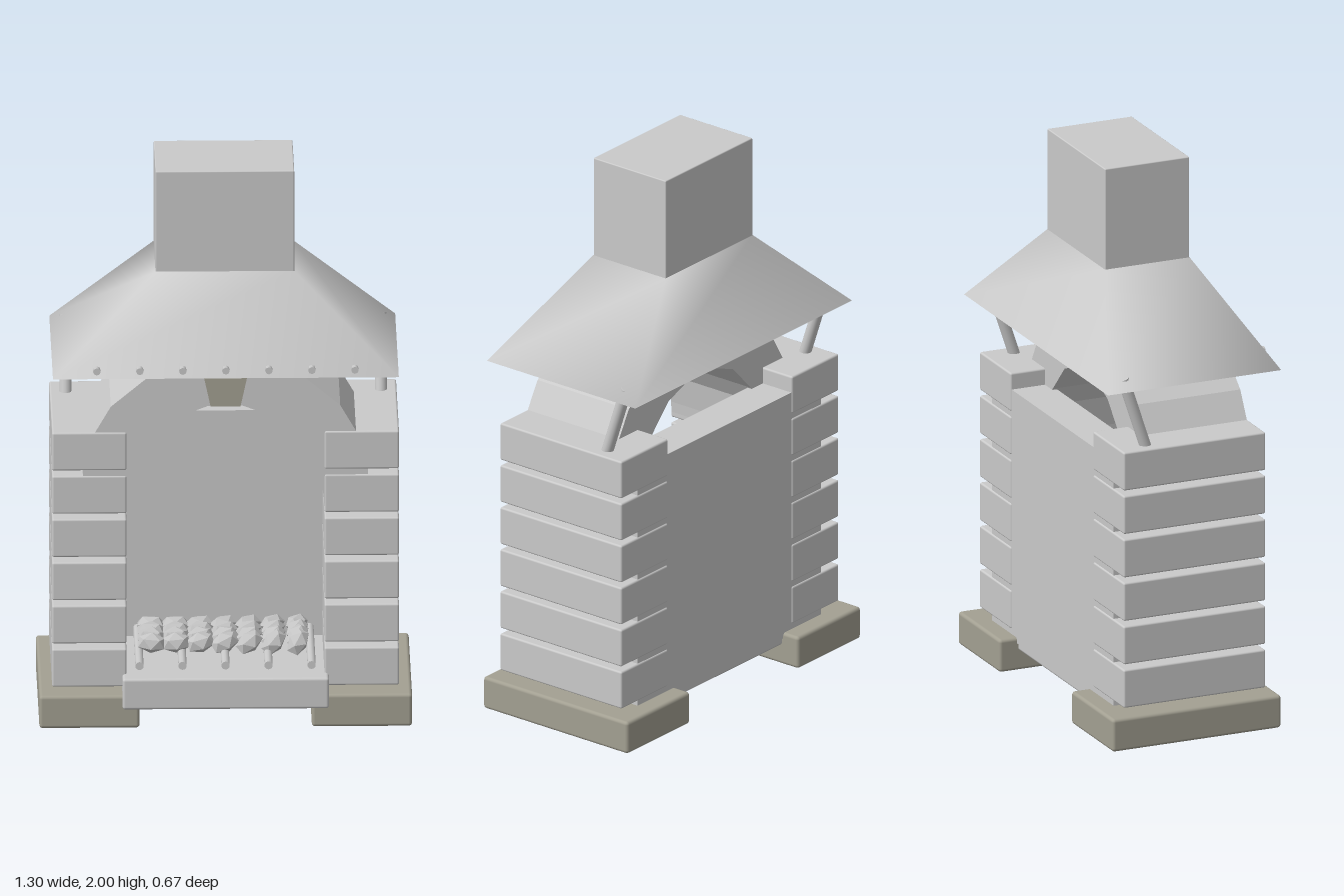
import * as THREE from 'three';
import { RoundedBoxGeometry } from 'three/addons/geometries/RoundedBoxGeometry.js';

export function createModel() {
  const model = new THREE.Group();
  model.name = 'gardenFireplace';

  const stone = new THREE.MeshStandardMaterial({ name: 'lightGrey', color: 0xcacaca });
  const plinth = new THREE.MeshStandardMaterial({ name: 'oliveStone', color: 0xa3a092 });
  const sheet = new THREE.MeshStandardMaterial({ name: 'hoodGrey', color: 0xcccccc, side: THREE.DoubleSide });
  const food = new THREE.MeshStandardMaterial({ name: 'coalGrey', color: 0xc4c4c4, flatShading: true });

  const add = (name, geometry, material, x = 0, y = 0, z = 0) => {
    const mesh = new THREE.Mesh(geometry, material);
    mesh.name = name;
    mesh.position.set(x, y, z);
    model.add(mesh);
    return mesh;
  };

  // Box given by its limits on each axis, with softly worn edges
  const block = (name, material, [x0, x1], [y0, y1], [z0, z1], radius = 0.007) =>
    add(name, new RoundedBoxGeometry(x1 - x0, y1 - y0, z1 - z0, 2, radius), material,
      (x0 + x1) / 2, (y0 + y1) / 2, (z0 + z1) / 2);

  // Cylinder between two points
  const rod = (name, a, b, radius, material, sides = 12) => {
    const p = new THREE.Vector3(...a), q = new THREE.Vector3(...b);
    const mesh = add(name, new THREE.CylinderGeometry(radius, radius, p.distanceTo(q), sides), material);
    mesh.position.copy(p).add(q).multiplyScalar(0.5);
    mesh.quaternion.setFromUnitVectors(new THREE.Vector3(0, 1, 0), q.sub(p).normalize());
    return mesh;
  };

  // Closed outline from its right half, extruded from z0 to z1
  const slab = (name, points, z0, z1, material) => {
    const shape = new THREE.Shape(points.map(([x, y]) => new THREE.Vector2(x, y)));
    const geometry = new THREE.ExtrudeGeometry(shape, { depth: z1 - z0, bevelEnabled: false });
    return add(name, geometry, material, 0, 0, z0);
  };
  const mirrored = (half) => [...half, ...half.map(([x, y]) => [-x, y]).reverse()];

  // Feet, brick columns and rear hood posts
  for (const side of [-1, 1]) {
    const label = side > 0 ? 'left' : 'right';
    const span = (a, b) => (side > 0 ? [a, b] : [-b, -a]);
    block(label + 'Foot', plinth, span(0.3, 0.65), [0, 0.12], [-0.335, 0.312], 0.012);
    for (let row = 0; row < 6; row++) {
      const y = 0.14 + row * 0.16;
      block(label + 'Brick', stone, span(0.345, 0.605), [y, y + 0.14], [-0.272, 0.272]);
    }
    rod(label + 'Post', [side * 0.55, 1.07, -0.163], [side * 0.55, 1.335, -0.25], 0.021, stone);
  }

  // Rear wall and hearth slab
  add('backWall', new THREE.BoxGeometry(1.02, 0.92, 0.145), stone, 0, 0.56, -0.195);
  block('hearth', stone, [-0.36, 0.36], [0.073, 0.187], [-0.262, 0.328], 0.01);

  // Arch with a keystone
  const outer = [[0.5, 0.8], [0.497, 0.94], [0.455, 1.08], [0.4, 1.175], [0.25, 1.3], [0.1, 1.345]];
  const inner = [[0.345, 0.8], [0.342, 0.84], [0.325, 0.95], [0.28, 1.025], [0.18, 1.13], [0.06, 1.176]];
  slab('arch', [...mirrored(outer), ...mirrored(inner).reverse()], -0.14, 0.268, stone);
  slab('keystone', mirrored([[0.052, 1.174], [0.09, 1.35]]), -0.143, 0.272, plinth);

  // Hood: open shell from a wide rim to a narrow neck
  const ring = (x, y, back, front) => [-x, y, front, x, y, front, x, y, back, -x, y, back];
  const hood = new THREE.BufferGeometry();
  hood.setAttribute('position', new THREE.Float32BufferAttribute(
    [...ring(0.603, 1.3, -0.332, 0.332), ...ring(0.242, 1.63, -0.178, 0.146)], 3));
  const faces = [];
  for (let i = 0; i < 4; i++) {
    const j = (i + 1) % 4;
    faces.push(i, j, j + 4, i, j + 4, i + 4);
  }
  hood.setIndex(faces);
  hood.computeVertexNormals();
  add('hood', hood, sheet);

  // Chimney
  block('chimney', stone, [-0.242, 0.242], [1.626, 2], [-0.178, 0.146], 0.004);

  // Rivets along the front rim
  for (let i = -3; i <= 3; i++) {
    rod('rivet', [i * 0.15, 1.328, 0.312], [i * 0.15, 1.328, 0.336], 0.013, stone, 8);
  }

  // Grate bars running front to back
  for (let i = -2; i <= 2; i++) {
    rod('grateBar', [i * 0.15, 0.218, -0.12], [i * 0.15, 0.218, 0.278], 0.015, stone, 10);
  }

  // Faceted lumps lying in rows on the grate
  const lump = new THREE.IcosahedronGeometry(1, 0);
  for (let row = 0; row < 4; row++) {
    for (let i = -3; i <= 3; i++) {
      const mesh = add('coal', lump, food, i * 0.085, 0.25, -0.07 + row * 0.065);
      mesh.scale.set(0.054, 0.031, 0.038);
      mesh.rotation.set(0.3 * row, 0.5 + 0.2 * i, 0);
    }
  }

  return model;
}
